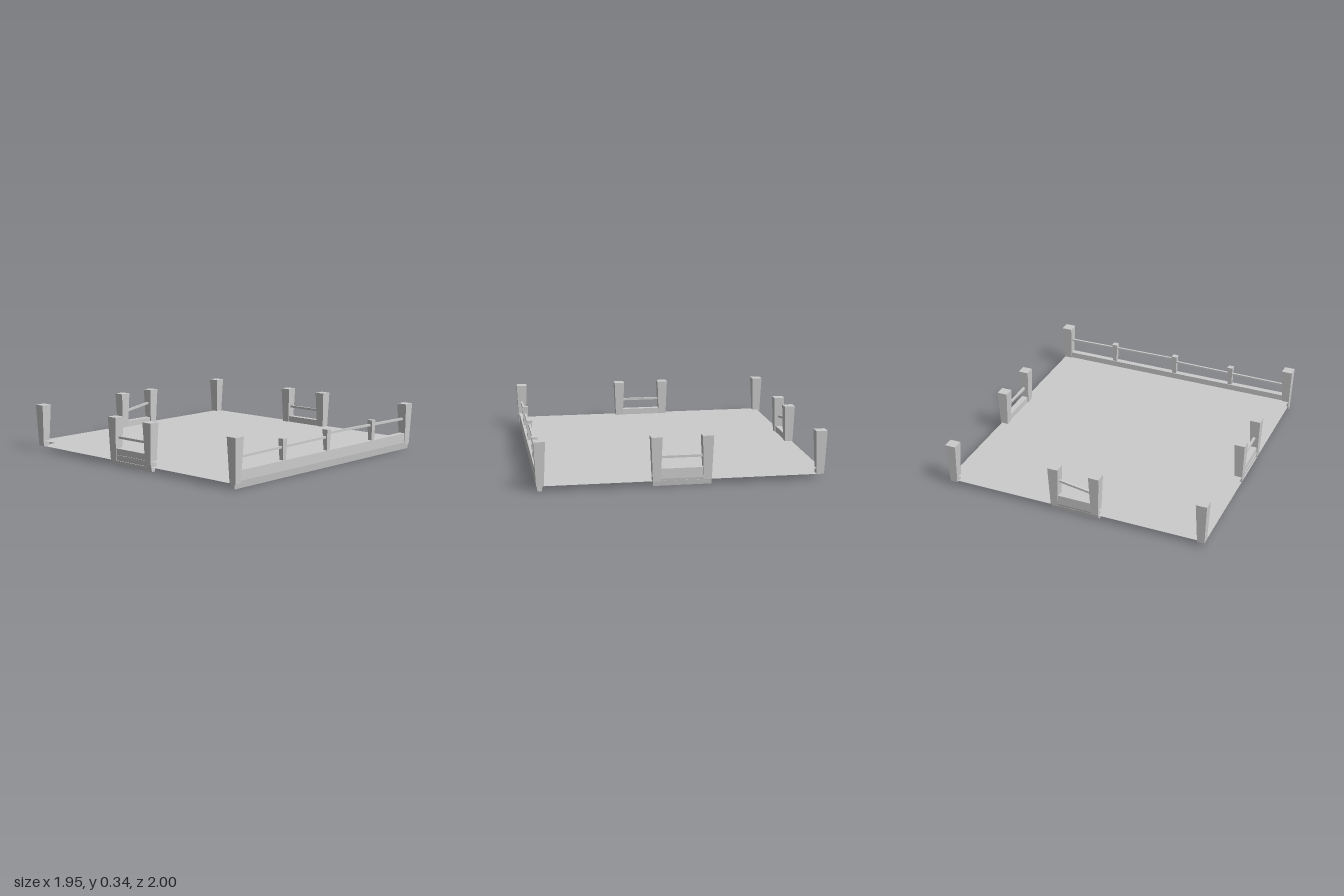
import * as THREE from 'three';

export function createModel() {
  const root = new THREE.Group();
  const stone = new THREE.MeshStandardMaterial({ color: 0xcccccc, side: THREE.DoubleSide });

  function add(name, geometry, parent = root) {
    const mesh = new THREE.Mesh(geometry, stone);
    mesh.name = name;
    parent.add(mesh);
    return mesh;
  }

  // Square post that narrows towards its foot
  function post(name, x, z, y0, y1, topWidth, footWidth, parent) {
    const g = new THREE.BoxGeometry(topWidth, y1 - y0, topWidth).toNonIndexed();
    const p = g.attributes.position;
    const k = footWidth / topWidth;
    for (let i = 0; i < p.count; i++) {
      if (p.getY(i) < 0) p.setXYZ(i, p.getX(i) * k, p.getY(i), p.getZ(i) * k);
    }
    g.computeVertexNormals();
    add(name, g, parent).position.set(x, (y0 + y1) / 2, z);
  }

  // Low wall with a keel-shaped underside, running along z before turning
  function wall(name, x, z, length, alongX, parent) {
    const s = new THREE.Shape([[-0.014, 0], [0.014, 0], [0.022, 0.05], [0.022, 0.12], [-0.022, 0.12], [-0.022, 0.05]]
      .map(([a, b]) => new THREE.Vector2(a, b)));
    const g = new THREE.ExtrudeGeometry(s, { depth: length, bevelEnabled: false });
    g.translate(0, 0, -length / 2);
    if (alongX) g.rotateY(Math.PI / 2);
    add(name, g, parent).position.set(x, 0, z);
  }

  // Thin square bar between two points
  function rail(name, from, to, parent) {
    const a = new THREE.Vector3(...from), b = new THREE.Vector3(...to);
    const mesh = add(name, new THREE.BoxGeometry(0.016, 0.016, a.distanceTo(b)), parent);
    mesh.position.copy(a).lerp(b, 0.5);
    mesh.lookAt(b);
  }

  // Floor: upper and lower sheets with open sides
  for (const [name, y] of [['floorTop', 0.075], ['floorUnderside', 0.035]]) {
    const g = new THREE.PlaneGeometry(1.918, 1.93).rotateX(name === 'floorTop' ? -Math.PI / 2 : Math.PI / 2);
    add(name, g).position.set(-0.002, y, -0.004);
  }

  // Corner posts
  for (const x of [-0.937, 0.932])
    for (const z of [-0.962, 0.96]) post('cornerPost', x, z, 0.035, 0.34, 0.078, 0.052);

  // Front fence
  const fence = new THREE.Group();
  fence.name = 'frontFence';
  root.add(fence);
  wall('frontWall', -0.004, 0.962, 1.92, true, fence);
  for (const x of [-0.47, 0, 0.517]) post('smallPost', x, 0.962, 0.115, 0.267, 0.042, 0.03, fence);
  rail('frontRailRight', [-0.92, 0.204, 0.962], [0, 0.213, 0.962], fence);
  rail('frontRailLeft', [0, 0.238, 0.962], [0.92, 0.227, 0.962], fence);

  // Side fences
  for (const x of [-0.934, 0.936]) {
    const side = new THREE.Group();
    side.name = x < 0 ? 'rightFence' : 'leftFence';
    root.add(side);
    wall('sideWall', x, 0, 0.4, false, side);
    for (const z of [-0.174, 0.176]) post('sidePost', x, z, 0.035, 0.34, 0.077, 0.054, side);
    rail('sideRail', [x, 0.197, -0.16], [x, 0.197, 0.16], side);
  }

  // Back fence
  const back = new THREE.Group();
  back.name = 'backFence';
  root.add(back);
  wall('backWall', -0.005, -0.948, 0.36, true, back);
  for (const x of [-0.158, 0.147]) post('backPost', x, -0.948, 0.035, 0.34, 0.077, 0.054, back);
  rail('backRail', [-0.14, 0.194, -0.948], [0.13, 0.236, -0.948], back);

  return root;
}
